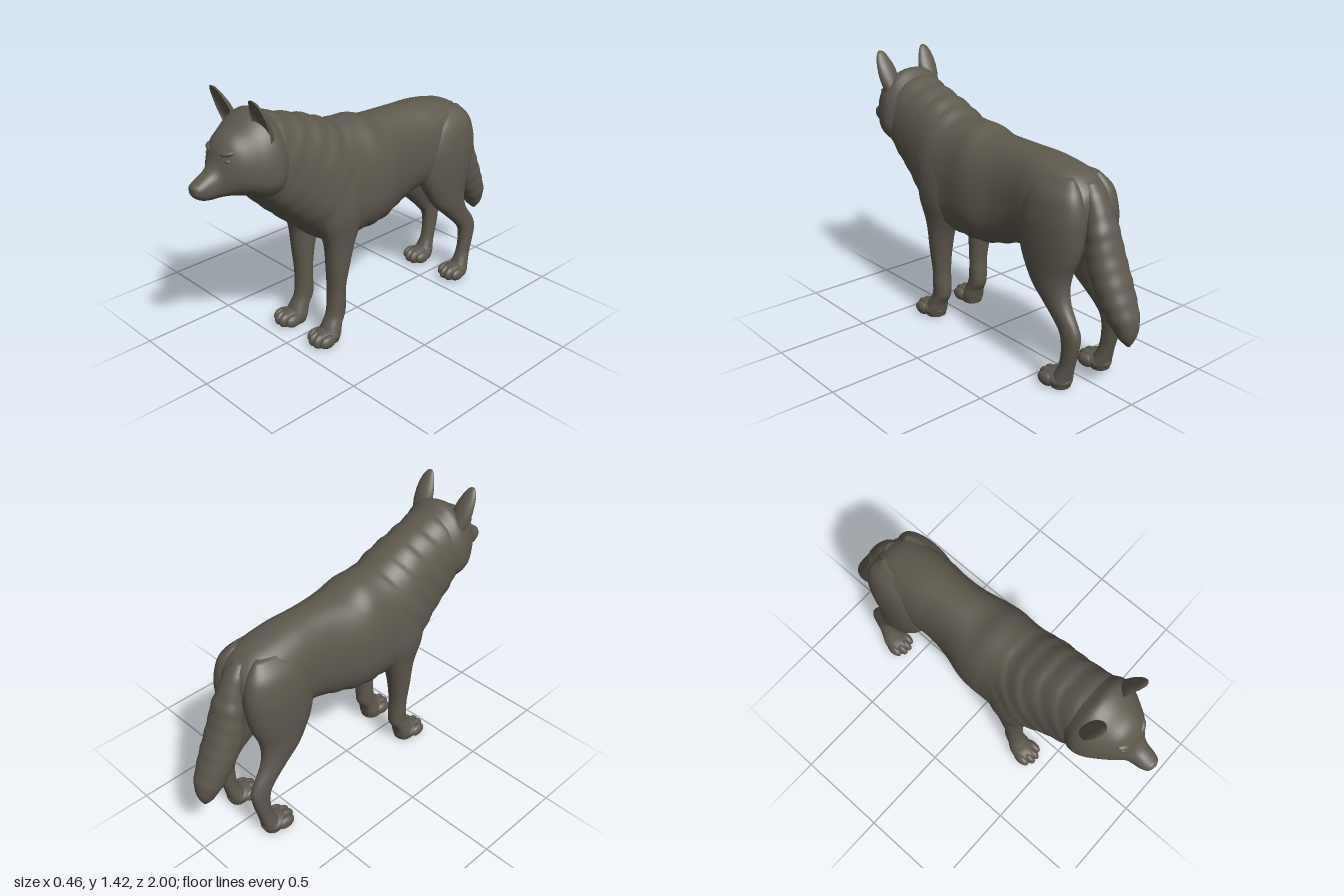
import * as THREE from 'three';

const fur = new THREE.MeshStandardMaterial({ color: 0x5e594e });
fur.name = 'dark grey fur';

// Smoothly interpolated value of one section column
function spline(rows, i, f, k) {
  const at = (n) => rows[Math.max(0, Math.min(rows.length - 1, n))][k];
  const a = at(i - 1), b = at(i), c = at(i + 1), d = at(i + 2);
  return b + 0.5 * f * (c - a + f * (2 * a - 5 * b + 4 * c - d + f * (3 * (b - c) + d - a)));
}

// Skin over sections [s, uLow, uHigh, uMid, vCentre, vRadius].
// axis 'z': s = z ascending, u = y.  axis 'y': s = y descending, u = z.  v is always x.
function loft(name, axis, rows, { seg = 32, sub = 5, pow = 0.9, front = 1, warp } = {}) {
  const pos = [], index = [];
  const put = (v, u, s) => (axis === 'z' ? pos.push(v, u, s) : pos.push(v, s, u));
  const rings = (rows.length - 1) * sub + 1;
  const soft = (n) => Math.sign(n) * Math.abs(n) ** pow;
  let first, last;
  for (let r = 0; r < rings; r++) {
    const i = Math.min(rows.length - 2, Math.floor(r / sub));
    const [s, lo, hi, mid, vc, vr] = [0, 1, 2, 3, 4, 5].map((k) => spline(rows, i, r / sub - i, k));
    if (r === 0) first = [vc, mid, s];
    last = [vc, mid, s];
    for (let j = 0; j < seg; j++) {
      const t = (j / seg) * Math.PI * 2, sn = soft(Math.sin(t));
      let v = vr * soft(Math.cos(t));
      let u = sn > 0 ? (hi - mid) * sn * front : (mid - lo) * sn;
      if (warp) {
        const g = warp(s, mid + u, v);
        v *= g;
        u *= g;
      }
      put(vc + v, mid + u, s);
    }
  }
  for (let r = 0; r < rings - 1; r++) {
    for (let j = 0; j < seg; j++) {
      const a = r * seg + j, b = r * seg + (j + 1) % seg;
      index.push(a, b, b + seg, a, b + seg, a + seg);
    }
  }
  put(...first);
  put(...last);
  const c = rings * seg, e = c - seg;
  for (let j = 0; j < seg; j++) {
    const k = (j + 1) % seg;
    index.push(c, k, j, c + 1, e + j, e + k);
  }
  const geo = new THREE.BufferGeometry();
  geo.setAttribute('position', new THREE.Float32BufferAttribute(pos, 3));
  geo.setIndex(index);
  geo.computeVertexNormals();
  const mesh = new THREE.Mesh(geo, fur);
  mesh.name = name;
  return mesh;
}

// [z, bottom, top, halfWidth, widestY]
const along = (rows) => rows.map(([z, b, t, w, m]) => [z, b, t, m, 0, w]);
// [y, zBack, zFront, xInner, xOuter], mirrored by side
const down = (rows, side) => rows.map(([y, b, f, i, o]) =>
  [y, b, f, (b + f) / 2, side * (i + o) / 2, (o - i) / 2]);

function blob(name, x, y, z, rx, ry, rz) {
  const geo = new THREE.SphereGeometry(1, 20, 14).scale(rx, ry, rz);
  const mesh = new THREE.Mesh(geo, fur);
  mesh.position.set(x, y, z);
  mesh.name = name;
  return mesh;
}

// Paw with four toes, heel at the ankle
function paw(name, x, z) {
  const g = new THREE.Group();
  g.name = name;
  g.add(blob('pawPad', x, 0.046, z, 0.064, 0.042, 0.085));
  [-1.5, -0.5, 0.5, 1.5].forEach((k) => {
    const mid = Math.abs(k) < 1;
    g.add(blob('toe', x + k * 0.033, 0.042, z + (mid ? 0.05 : 0.03), 0.025, mid ? 0.04 : 0.035, 0.05));
  });
  return g;
}

// Overlapping folds of the neck mane and slightly ragged belly fur
function folds(z, y, x) {
  const q = (z + 0.9 * y + 0.25 * Math.abs(x)) / 0.135, p = q - Math.floor(q);
  const mask = THREE.MathUtils.smoothstep(z, 0.1, 0.25) * (1 - THREE.MathUtils.smoothstep(z, 0.62, 0.7));
  const belly = y < 0.62 && z < 0.2 && z > -0.3 ? 0.012 * Math.sin(z * 62) : 0;
  return 1 + mask * 0.05 * (p - p ** 6 - 0.4) + belly;
}

export function createModel() {
  const wolf = new THREE.Group();
  wolf.name = 'wolf';

  // Trunk from rump to neck
  wolf.add(loft('body', 'z', along([
    [-0.745, 0.82, 0.93, 0.05, 0.88],
    [-0.72, 0.76, 0.99, 0.11, 0.87],
    [-0.65, 0.7, 1.05, 0.155, 0.86],
    [-0.55, 0.66, 1.08, 0.175, 0.85],
    [-0.42, 0.63, 1.1, 0.175, 0.84],
    [-0.3, 0.605, 1.105, 0.167, 0.83],
    [-0.18, 0.565, 1.108, 0.178, 0.81],
    [-0.06, 0.535, 1.11, 0.21, 0.79],
    [0.03, 0.53, 1.137, 0.218, 0.78],
    [0.12, 0.53, 1.143, 0.214, 0.77],
    [0.2, 0.53, 1.155, 0.218, 0.77],
    [0.3, 0.55, 1.2, 0.223, 0.79],
    [0.4, 0.63, 1.235, 0.205, 0.87],
    [0.5, 0.715, 1.265, 0.192, 0.96],
    [0.6, 0.805, 1.295, 0.186, 1.02],
    [0.68, 0.885, 1.29, 0.165, 1.05],
    [0.72, 0.93, 1.22, 0.12, 1.07],
  ]), { seg: 64, sub: 6, pow: 0.87, warp: folds }));

  // Head with cheeks, stop and muzzle
  wolf.add(loft('head', 'z', along([
    [0.52, 0.95, 1.24, 0.14, 1.06],
    [0.6, 0.91, 1.295, 0.186, 1.06],
    [0.65, 0.905, 1.325, 0.203, 1.05],
    [0.71, 0.92, 1.305, 0.193, 1.05],
    [0.77, 0.945, 1.265, 0.16, 1.06],
    [0.82, 0.955, 1.235, 0.125, 1.07],
    [0.855, 0.957, 1.19, 0.09, 1.06],
    [0.88, 0.956, 1.125, 0.066, 1.04],
    [0.91, 0.957, 1.092, 0.056, 1.025],
    [0.95, 0.965, 1.07, 0.05, 1.02],
    [0.985, 0.985, 1.048, 0.037, 1.02],
    [0.997, 1.005, 1.035, 0.015, 1.02],
  ]), { seg: 40 }));
  wolf.add(blob('nose', 0, 1.03, 0.97, 0.038, 0.024, 0.03));

  // Bushy tail, narrow at the root
  wolf.add(loft('tail', 'y', down([
    [1.02, -0.71, -0.64, -0.03, 0.03],
    [0.96, -0.765, -0.66, -0.055, 0.055],
    [0.88, -0.808, -0.69, -0.065, 0.065],
    [0.82, -0.838, -0.71, -0.08, 0.08],
    [0.75, -0.862, -0.715, -0.088, 0.088],
    [0.65, -0.903, -0.715, -0.095, 0.095],
    [0.55, -0.947, -0.76, -0.092, 0.092],
    [0.45, -0.988, -0.815, -0.08, 0.08],
    [0.39, -0.999, -0.858, -0.064, 0.064],
    [0.33, -0.987, -0.91, -0.038, 0.038],
    [0.293, -0.968, -0.95, -0.008, 0.008],
  ], 1), { warp: (s, u) => 1 + 0.02 * Math.sin(s * 70 + u * 30) }));

  for (const side of [-1, 1]) {
    const tag = side > 0 ? 'left' : 'right';

    // Cupped ear
    wolf.add(loft(tag + 'Ear', 'y', down([
      [1.417, 0.755, 0.768, 0.135, 0.15],
      [1.405, 0.738, 0.768, 0.117, 0.165],
      [1.375, 0.715, 0.764, 0.1, 0.18],
      [1.33, 0.685, 0.757, 0.082, 0.188],
      [1.28, 0.66, 0.748, 0.075, 0.188],
      [1.23, 0.64, 0.735, 0.075, 0.178],
      [1.18, 0.63, 0.715, 0.08, 0.16],
    ], side), { front: -0.45, pow: 1 }));

    // Brow over the eye, and closed lid
    const brow = blob(tag + 'Brow', side * 0.062, 1.172, 0.838, 0.036, 0.014, 0.022);
    brow.rotation.set(0, side * 0.5, side * 0.25);
    wolf.add(brow, blob(tag + 'Eyelid', side * 0.068, 1.142, 0.843, 0.02, 0.011, 0.016));

    // Front leg with shoulder and elbow
    wolf.add(loft(tag + 'FrontLeg', 'y', down([
      [1.0, 0.17, 0.3, 0.06, 0.15],
      [0.92, 0.12, 0.37, 0.05, 0.205],
      [0.8, 0.1, 0.4, 0.04, 0.226],
      [0.7, 0.11, 0.39, 0.04, 0.226],
      [0.61, 0.145, 0.355, 0.055, 0.212],
      [0.54, 0.175, 0.333, 0.068, 0.204],
      [0.42, 0.205, 0.322, 0.074, 0.193],
      [0.3, 0.222, 0.314, 0.078, 0.178],
      [0.22, 0.22, 0.316, 0.078, 0.176],
      [0.15, 0.222, 0.326, 0.08, 0.172],
      [0.1, 0.25, 0.352, 0.078, 0.18],
      [0.05, 0.265, 0.375, 0.07, 0.19],
      [0.01, 0.275, 0.38, 0.078, 0.182],
    ], side)));
    wolf.add(paw(tag + 'FrontPaw', side * 0.135, 0.348));

    // Hind leg with thigh, hock and pastern
    wolf.add(loft(tag + 'HindLeg', 'y', down([
      [1.04, -0.66, -0.5, 0.06, 0.11],
      [0.97, -0.72, -0.42, 0.03, 0.175],
      [0.86, -0.748, -0.37, 0.012, 0.203],
      [0.75, -0.742, -0.36, 0.012, 0.207],
      [0.66, -0.722, -0.375, 0.025, 0.202],
      [0.58, -0.692, -0.412, 0.045, 0.195],
      [0.5, -0.685, -0.465, 0.065, 0.188],
      [0.43, -0.708, -0.54, 0.085, 0.18],
      [0.36, -0.758, -0.615, 0.1, 0.176],
      [0.3, -0.782, -0.665, 0.102, 0.176],
      [0.22, -0.77, -0.678, 0.102, 0.174],
      [0.14, -0.748, -0.668, 0.1, 0.174],
      [0.09, -0.735, -0.645, 0.092, 0.182],
      [0.05, -0.725, -0.62, 0.082, 0.19],
      [0.01, -0.715, -0.62, 0.09, 0.185],
    ], side)));
    wolf.add(paw(tag + 'HindPaw', side * 0.137, -0.645));
  }

  // Small bulge under the belly
  wolf.add(blob('bellyBulge', 0, 0.64, -0.34, 0.035, 0.04, 0.07));
  return wolf;
}
